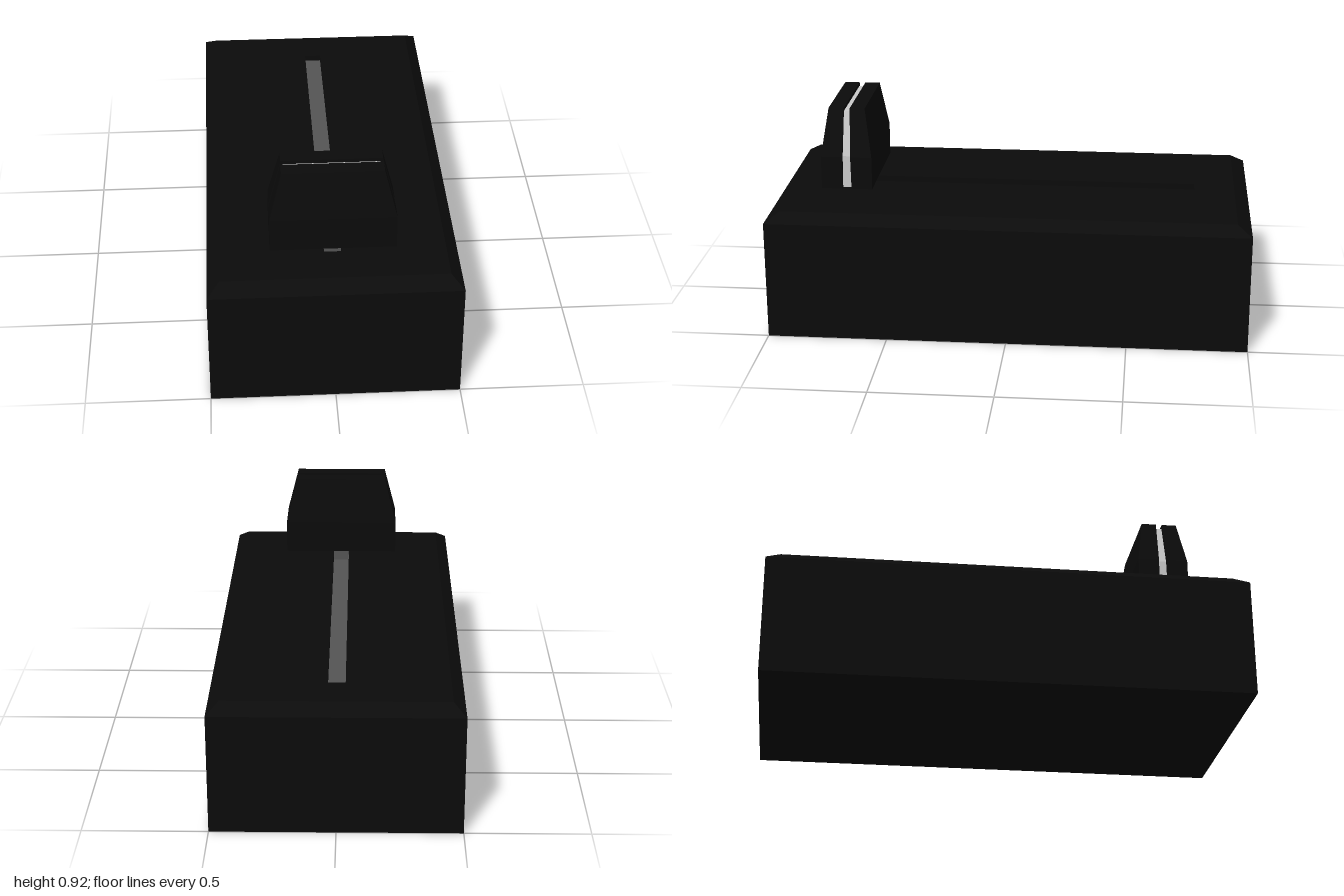
import * as THREE from 'three';

const black = new THREE.MeshStandardMaterial({ color: 0x0b0b0b });
const grey = new THREE.MeshStandardMaterial({ color: 0x555555 });
const white = new THREE.MeshStandardMaterial({ color: 0xffffff });

function add(group, name, geometry, material, x = 0, y = 0, z = 0) {
  const mesh = new THREE.Mesh(geometry, material);
  mesh.name = name;
  mesh.position.set(x, y, z);
  group.add(mesh);
  return mesh;
}

// Move every vertex by a rule, then renew flat normals
function reshape(geometry, rule) {
  const g = geometry.index ? geometry.toNonIndexed() : geometry;
  const p = g.attributes.position;
  const v = new THREE.Vector3();
  for (let i = 0; i < p.count; i++) {
    v.fromBufferAttribute(p, i);
    rule(v);
    p.setXYZ(i, v.x, v.y, v.z);
  }
  g.computeVertexNormals();
  return g;
}

// Rectangle outline, w by d, centred on the origin
function rectangle(path, w, d) {
  path.moveTo(-w / 2, -d / 2);
  path.lineTo(w / 2, -d / 2);
  path.lineTo(w / 2, d / 2);
  path.lineTo(-w / 2, d / 2);
  path.closePath();
  return path;
}

// Upright slab with a straight foot and a tapering upper part.
// rows: bottom, shoulder and top, each [y, half width, back z, front z]
function taperedSlab(rows) {
  return reshape(new THREE.BoxGeometry(2, 2, 2, 1, 2, 1), (v) => {
    const [y, w, back, front] = rows[Math.round(v.y) + 1];
    v.set(Math.sign(v.x) * w, y, v.z > 0 ? front : back);
  });
}

export function createModel() {
  const model = new THREE.Group();
  model.name = 'slideControl';

  // Housing: solid base and a chamfered lid with a long slot
  add(model, 'housingBase', new THREE.BoxGeometry(1, 0.5, 2), black, 0, 0.25, 0);
  const outline = rectangle(new THREE.Shape(), 1, 2);
  outline.holes.push(rectangle(new THREE.Path(), 0.07, 1.54));
  const lid = new THREE.ExtrudeGeometry(outline, { depth: 0.04, bevelEnabled: false });
  lid.rotateX(-Math.PI / 2);
  add(model, 'housingLid', reshape(lid, (v) => {
    if (v.y > 0.02 && Math.abs(v.x) > 0.4) {
      v.x -= Math.sign(v.x) * 0.05;
      v.z -= Math.sign(v.z) * 0.06;
    }
  }), black, 0, 0.5, 0);

  // Grey floor of the slot and the stem riding in it
  add(model, 'slotFloor', new THREE.BoxGeometry(0.07, 0.02, 1.54), grey, 0, 0.505, 0);
  add(model, 'stem', new THREE.BoxGeometry(0.068, 0.09, 0.11), grey, 0, 0.555, 0.69);

  // Knob: two mirrored black halves with a pale marker strip between them
  const knob = new THREE.Group();
  knob.name = 'knob';
  knob.position.z = 0.692;
  const half = taperedSlab([
    [0.576, 0.25, 0.019, 0.107],
    [0.715, 0.25, 0.017, 0.107],
    [0.915, 0.2, 0.013, 0.076],
  ]);
  add(knob, 'knobFrontHalf', half, black);
  add(knob, 'knobBackHalf', half, black).rotation.y = Math.PI;
  add(knob, 'markerStrip', taperedSlab([
    [0.578, 0.235, -0.021, 0.021],
    [0.715, 0.235, -0.019, 0.019],
    [0.9, 0.19, -0.015, 0.015],
  ]), white);
  model.add(knob);

  return model;
}
